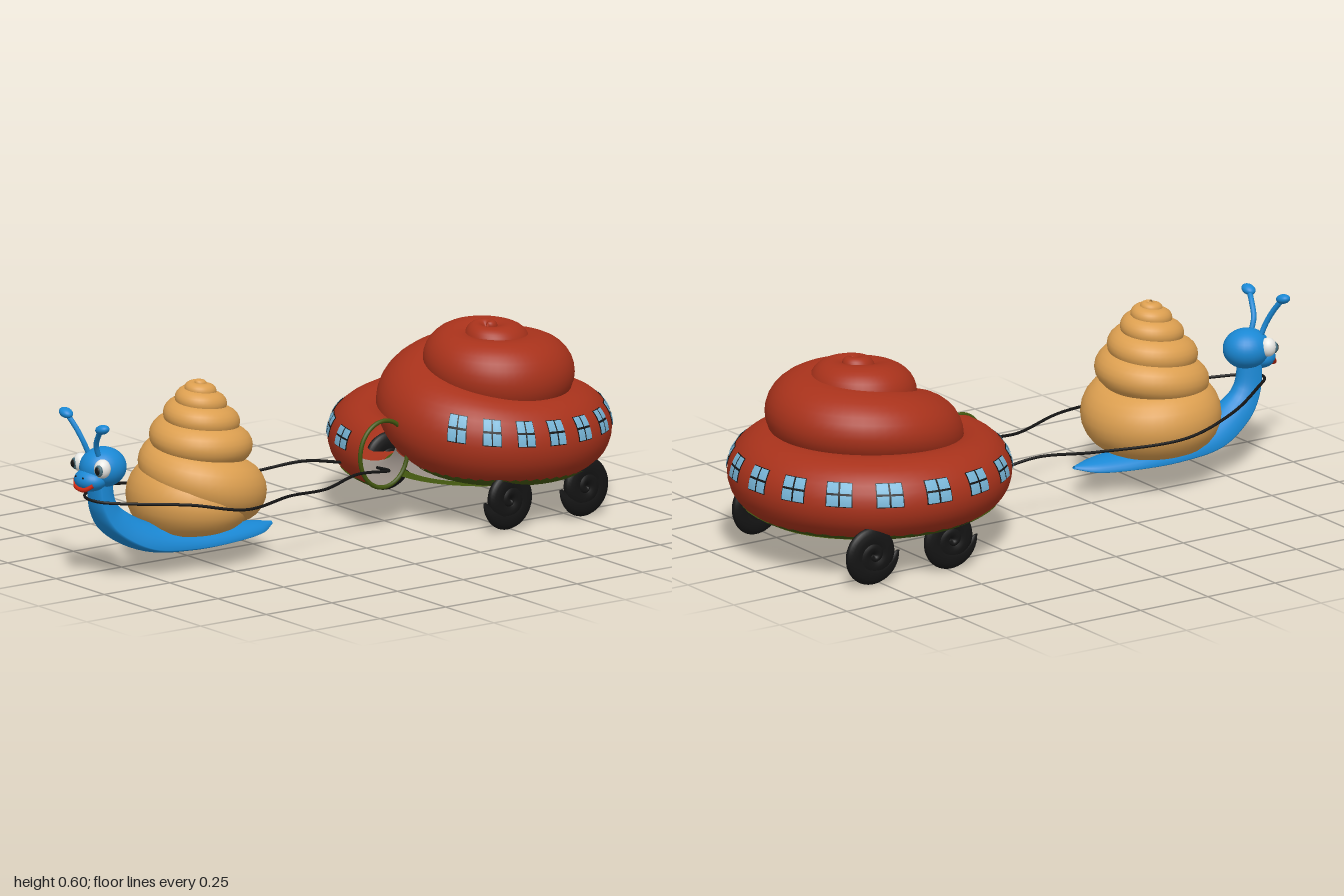
import * as THREE from 'three';
import { ParametricGeometry } from 'three/addons/geometries/ParametricGeometry.js';

const mat = (color) => new THREE.MeshStandardMaterial({ color, side: THREE.DoubleSide });
const RED = mat(0xa8321b), TAN = mat(0xdc9f50), BLUE = mat(0x1a88d4), GREEN = mat(0x42560f), GREY = mat(0x9a9088);
const BLACK = mat(0x141414), GLASS = mat(0x78b6d8), WHITE = mat(0xe8e8e4), LIPS = mat(0xd02a12);
const V = (x, y, z) => new THREE.Vector3(x, y, z);
const TAU = Math.PI * 2;

function add(parent, name, geometry, material) {
  const mesh = new THREE.Mesh(geometry, material);
  mesh.name = name;
  parent.add(mesh);
  return mesh;
}

// smooth interpolation of rows [t, a, b, ...]
function track(rows) {
  const n = rows[0].length - 1;
  const lerp = new THREE.CubicInterpolant(rows.map((r) => r[0]), new Float32Array(rows.flatMap((r) => r.slice(1))), n);
  return (t) => Array.from(lerp.evaluate(t));
}

// coiled tube; rows are [turn, outer radius, height, radial half-width, vertical half-width]
function coil(rows, cx, cz) {
  const at = track(rows);
  return (t, phi, off = 0, target = V()) => {
    const [R, y, a, b] = at(t), th = t * TAU;
    const r = R - a + (a + off) * Math.cos(phi);
    return target.set(cx - r * Math.sin(th), y + (b + off) * Math.sin(phi), cz + r * Math.cos(th));
  };
}

// patch of a coil; p0 and p1 bound the section angle, p1 may depend on the turn
function patch(c, t0, t1, p0, p1, off, nu, nv) {
  return new ParametricGeometry((u, v, target) => {
    const t = t0 + (t1 - t0) * u;
    const end = typeof p1 === 'function' ? p1(t) : p1;
    c(t, p0 + (end - p0) * v, off, target);
  }, nu, nv);
}

const tube = (pts, r, n = 32, closed = false) =>
  new THREE.TubeGeometry(new THREE.CatmullRomCurve3(pts, closed), n, r, 8, closed);

function ball(parent, name, material, p, s) {
  const m = add(parent, name, new THREE.SphereGeometry(1, 28, 20), material);
  m.position.set(...p);
  m.scale.set(...s);
  return m;
}

function makeWagon() {
  const g = new THREE.Group();
  g.name = 'shellWagon';
  const c = coil([
    [0, 0.48, 0.235, 0.09, 0.105], [0.25, 0.49, 0.245, 0.14, 0.125], [0.5, 0.42, 0.25, 0.14, 0.13],
    [0.75, 0.33, 0.26, 0.13, 0.135], [1, 0.34, 0.31, 0.15, 0.15], [1.25, 0.33, 0.41, 0.16, 0.12],
    [1.5, 0.29, 0.43, 0.14, 0.12], [1.75, 0.24, 0.44, 0.12, 0.12], [2, 0.2, 0.47, 0.1, 0.1],
    [2.25, 0.19, 0.505, 0.095, 0.085], [2.5, 0.15, 0.52, 0.075, 0.07], [2.75, 0.11, 0.53, 0.055, 0.06],
    [3, 0.075, 0.545, 0.04, 0.05], [3.25, 0.06, 0.56, 0.03, 0.04], [3.5, 0.042, 0.575, 0.021, 0.025],
    [3.75, 0.012, 0.585, 0.006, 0.01],
  ], 0.08, -0.58);
  add(g, 'wagonShell', patch(c, 0, 3.75, 0, TAU, 0, 220, 32), RED);

  // grassy underside with a jagged upper edge
  const jag = (t) => -0.92 + 0.2 * Math.abs(((t * 50) % 1) - 0.5);
  add(g, 'grassSkirt', patch(c, 0, 0.98, -2.4, jag, 0.003, 200, 10), GREEN);
  add(g, 'doorwayFloor', patch(c, 0, 0.15, -2.9, -0.2, -0.006, 16, 14), GREY);
  const rim = Array.from({ length: 20 }, (_, i) => c(0, (i / 20) * TAU));
  add(g, 'doorwayRim', tube(rim, 0.007, 60, true), GREEN);

  // underside: green floor, grey ring and a hollow centre
  for (const [name, r0, r1, y, m] of [['floor', 0.25, 0.3, 0.128, GREEN], ['floorRing', 0.17, 0.25, 0.13, GREY]]) {
    const ring = add(g, name, new THREE.RingGeometry(r0, r1, 48).rotateX(Math.PI / 2), m);
    ring.position.set(0, y, -0.62);
  }
  const cone = add(g, 'floorHollow', new THREE.ConeGeometry(0.175, 0.08, 40, 1, true), GREEN);
  cone.position.set(0, 0.17, -0.62);

  // four-pane windows around the outer coil
  const count = 17, hw = 0.0145;
  for (let i = 0; i < count; i++) {
    const t = 0.04 + (0.855 * i) / (count - 1);
    const w = new THREE.Group();
    w.name = 'window';
    g.add(w);
    const lo = 0.06, hi = 0.66, mid = (lo + hi) / 2;
    add(w, 'windowFrame', patch(c, t - hw, t + hw, lo, hi, 0.002, 4, 6), BLACK);
    for (const [t0, t1] of [[t - hw * 0.93, t - hw * 0.07], [t + hw * 0.07, t + hw * 0.93]])
      for (const [p0, p1] of [[lo + 0.02, mid - 0.025], [mid + 0.025, hi - 0.02]])
        add(w, 'windowPane', patch(c, t0, t1, p0, p1, 0.004, 2, 3), GLASS);
  }

  // wheels are flat coils
  const wc = coil([
    [0, 0.097, 0, 0.006, 0.003], [0.1, 0.097, 0, 0.028, 0.014], [0.5, 0.094, 0, 0.036, 0.017],
    [1, 0.078, 0, 0.032, 0.018], [1.5, 0.056, 0, 0.026, 0.019], [2, 0.036, 0, 0.018, 0.02], [2.5, 0.012, 0, 0.006, 0.018],
  ], 0, 0);
  const wheelGeo = patch(wc, 0, 2.5, 0, TAU, 0, 110, 12).rotateZ(Math.PI / 2);
  for (const side of [-1, 1])
    for (const z of [-0.49, -0.78]) {
      const wheel = add(g, 'wheel', wheelGeo, BLACK);
      wheel.position.set(side * 0.315, 0.096, z);
      wheel.rotation.y = side * 0.06;
    }
  return g;
}

function makeSnail() {
  const g = new THREE.Group();
  g.name = 'snail';
  const c = coil([
    [-0.5, 0.12, 0.17, 0.03, 0.03], [-0.25, 0.19, 0.2, 0.09, 0.085], [0, 0.22, 0.22, 0.11, 0.115],
    [0.25, 0.222, 0.215, 0.11, 0.11], [0.5, 0.215, 0.215, 0.107, 0.105], [0.75, 0.205, 0.255, 0.102, 0.1],
    [1, 0.19, 0.31, 0.095, 0.08], [2, 0.155, 0.4, 0.078, 0.062], [3, 0.112, 0.47, 0.056, 0.046],
    [4, 0.075, 0.52, 0.038, 0.033], [5, 0.045, 0.552, 0.023, 0.02], [6, 0.014, 0.57, 0.007, 0.01],
  ], 0.09, 0.525);
  add(g, 'snailShell', patch(c, -0.5, 6, 0, TAU, 0, 280, 24), TAN);

  // foot and neck: flat-soled sections along [s, y, z, half-width, height]
  const body = track([
    [0, 0.085, 0.25, 0.008, 0.008], [1, 0.073, 0.32, 0.05, 0.03], [2, 0.07, 0.45, 0.08, 0.045],
    [3, 0.071, 0.6, 0.085, 0.06], [4, 0.09, 0.75, 0.08, 0.075], [5, 0.15, 0.86, 0.057, 0.075],
    [6, 0.22, 0.908, 0.044, 0.065], [7, 0.3, 0.92, 0.038, 0.06], [8, 0.37, 0.915, 0.035, 0.06],
  ]);
  add(g, 'footAndNeck', new ParametricGeometry((u, v, target) => {
    const s = u * 8, [y, z, w, h] = body(s);
    const [y0, z0] = body(Math.max(0, s - 0.05)), [y1, z1] = body(Math.min(8, s + 0.05));
    const len = Math.hypot(y1 - y0, z1 - z0), sn = Math.sin(v * TAU);
    const n = h * sn * (sn < 0 ? 0.22 : 1);
    target.set(0.095 + w * Math.cos(v * TAU), y + (n * (z1 - z0)) / len, z - (n * (y1 - y0)) / len);
  }, 60, 28), BLUE);

  // head and face
  const head = new THREE.Group();
  head.name = 'head';
  head.position.x = 0.1;
  g.add(head);
  ball(head, 'skull', BLUE, [0, 0.358, 0.895], [0.07, 0.063, 0.075]);
  ball(head, 'snout', BLUE, [0, 0.325, 0.942], [0.055, 0.036, 0.048]);
  add(head, 'mouth', tube([V(-0.048, 0.325, 0.962), V(-0.025, 0.306, 0.98), V(0, 0.3, 0.984),
    V(0.025, 0.302, 0.98), V(0.047, 0.318, 0.965)], 0.007), LIPS);
  for (const s of [-1, 1]) {
    ball(head, 'eye', WHITE, [s * 0.055, 0.368, 0.937], [0.026, 0.03, 0.026]);
    ball(head, 'iris', mat(0x49707e), [s * 0.061, 0.366, 0.955], [0.017, 0.019, 0.01]);
    ball(head, 'pupil', BLACK, [s * 0.063, 0.366, 0.961], [0.011, 0.013, 0.007]);
    ball(head, 'nostril', BLACK, [s * 0.018, 0.338, 0.984], [0.004, 0.003, 0.003]);
    // feelers, the left one leaning further out
    const tipX = s < 0 ? -0.08 : 0.098, tipY = s < 0 ? 0.52 : 0.503;
    add(head, 'feeler', tube([V(s * 0.026, 0.4, 0.93), V(s * 0.034, 0.44, 0.945),
      V(tipX * 0.66, 0.48, 0.958), V(tipX, tipY, 0.972)], 0.0085), BLUE);
    const tip = ball(head, 'feelerTip', BLUE, [tipX * 1.06, tipY + 0.004, 0.973], [0.026, 0.015, 0.02]);
    tip.rotation.z = s * 0.25;
  }
  return g;
}

export function createModel() {
  const model = new THREE.Group();
  model.name = 'snailAndWagon';
  model.add(makeWagon(), makeSnail());

  // harness rope from the doorway, round the neck and back
  add(model, 'harnessRope', tube([
    V(-0.06, 0.19, -0.13), V(-0.075, 0.21, 0), V(-0.1, 0.197, 0.2), V(-0.147, 0.2, 0.5), V(-0.105, 0.235, 0.7),
    V(0.01, 0.262, 0.88), V(0.06, 0.264, 0.935), V(0.1, 0.262, 0.948), V(0.14, 0.258, 0.93), V(0.185, 0.252, 0.86),
    V(0.26, 0.237, 0.68), V(0.305, 0.205, 0.5), V(0.26, 0.21, 0.3), V(0.205, 0.195, 0.12), V(0.16, 0.21, -0.03),
    V(0.115, 0.19, -0.185), V(0.045, 0.185, -0.19),
  ], 0.0048, 160), BLACK);
  return model;
}
